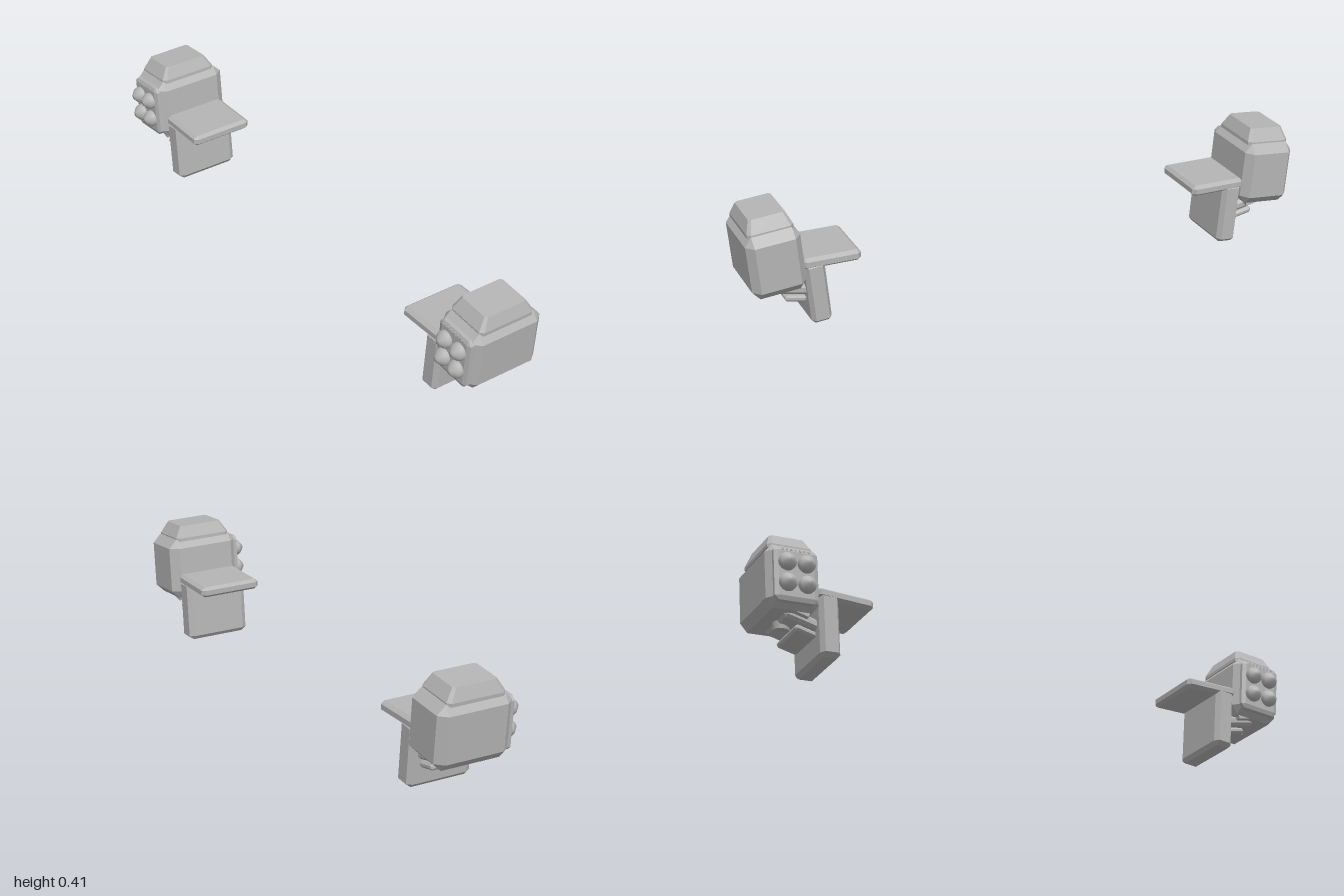
import * as THREE from 'three';
import { ConvexGeometry } from 'three/addons/geometries/ConvexGeometry.js';

const SIGNS = [-1, 1];

// Box whose edges are cut back by bx, by, bz along each axis
function chamferBox(w, h, d, bx, by = bx, bz = bx) {
  const pts = [];
  for (const i of SIGNS) for (const j of SIGNS) for (const k of SIGNS) {
    const x = i * w / 2, y = j * h / 2, z = k * d / 2;
    const cx = x - i * bx, cy = y - j * by, cz = z - k * bz;
    pts.push(new THREE.Vector3(x, cy, cz), new THREE.Vector3(cx, y, cz), new THREE.Vector3(cx, cy, z));
  }
  return new ConvexGeometry(pts);
}

// Truncated pyramid with cut corners, standing on y = 0
function hatchGeometry() {
  const pts = [];
  const rings = [[0, 0.078, 0.106, 0.012], [0.012, 0.078, 0.106, 0.012], [0.054, 0.061, 0.08, 0.008]];
  for (const [y, x, z, c] of rings)
    for (const i of SIGNS) for (const k of SIGNS)
      pts.push(new THREE.Vector3(i * x, y, k * (z - c)), new THREE.Vector3(i * (x - c), y, k * z));
  return new ConvexGeometry(pts);
}

export function createModel() {
  const model = new THREE.Group();
  const grey = new THREE.MeshStandardMaterial({ color: 0xb4b4b4 });
  grey.name = 'light grey';

  const add = (parent, name, geometry, x, y, z, rz = 0) => {
    const mesh = new THREE.Mesh(geometry, grey);
    mesh.name = name;
    mesh.position.set(x, y, z);
    mesh.rotation.z = rz;
    parent.add(mesh);
    return mesh;
  };

  const body = chamferBox(0.184, 0.222, 0.273, 0.024, 0.03, 0.03);
  const hatch = hatchGeometry();
  const facePlate = chamferBox(0.15, 0.186, 0.03, 0.014, 0.014, 0.006);
  const rivet = new THREE.BoxGeometry(0.006, 0.006, 0.008);
  const warhead = new THREE.LatheGeometry([
    [0.029, 0], [0.03, 0.02], [0.026, 0.028], [0.011, 0.042], [0, 0.044],
  ].map(p => new THREE.Vector2(...p)), 20);
  warhead.rotateX(Math.PI / 2);

  for (const s of SIGNS) {
    const side = new THREE.Group();
    side.name = s > 0 ? 'leftLauncher' : 'rightLauncher';
    model.add(side);
    const tilt = -s * 0.087;

    // Shoulder plate and hanging arm panel
    add(side, 'shoulderPlate', chamferBox(0.2, 0.038, 0.232, 0.012, 0.01, 0.014), s * 0.712, 0.222, -0.019);
    add(side, 'armPanel', chamferBox(0.07, 0.22, 0.235, 0.012, 0.014, 0.018), s * 0.762, 0.1135, -0.018, tilt);

    // Missile pod, leaning outwards
    const pod = new THREE.Group();
    pod.name = 'missilePod';
    pod.position.set(s * 0.9, 0.247, 0);
    pod.rotation.z = tilt;
    side.add(pod);
    add(pod, 'podBody', body, 0, 0, -0.0215);
    add(pod, 'podHatch', hatch, 0, 0.104, -0.02);
    add(pod, 'podFace', facePlate, 0, -0.002, 0.11);
    for (const i of SIGNS) for (const j of SIGNS)
      add(pod, 'warhead', warhead, i * 0.033, j * 0.036, 0.116);
    for (let i = -3; i <= 3; i++) {
      add(pod, 'rivet', rivet, i * 0.015, 0.082, 0.122);
      add(pod, 'hatchRivet', rivet, i * 0.015, 0.111, 0.083);
    }

    // Stepped mounting bracket between the arm and the pod
    const bracket = new THREE.Group();
    bracket.name = 'bracket';
    bracket.position.set(s * 0.845, 0.12, -0.02);
    bracket.rotation.z = s * 0.2;
    side.add(bracket);
    add(bracket, 'bracketBlock', chamferBox(0.13, 0.036, 0.172, 0.01), 0, 0.01, 0);
    add(bracket, 'bracketFoot', chamferBox(0.075, 0.022, 0.162, 0.007), -s * 0.02, -0.025, 0);
    add(bracket, 'bracketTop', new THREE.BoxGeometry(0.06, 0.03, 0.208), s * 0.02, 0.025, 0);
    const pin = add(bracket, 'bracketPin', new THREE.CylinderGeometry(0.035, 0.028, 0.045, 16), s * 0.04, 0.003, 0);
    pin.rotation.z = -s * 0.2;
  }
  return model;
}
